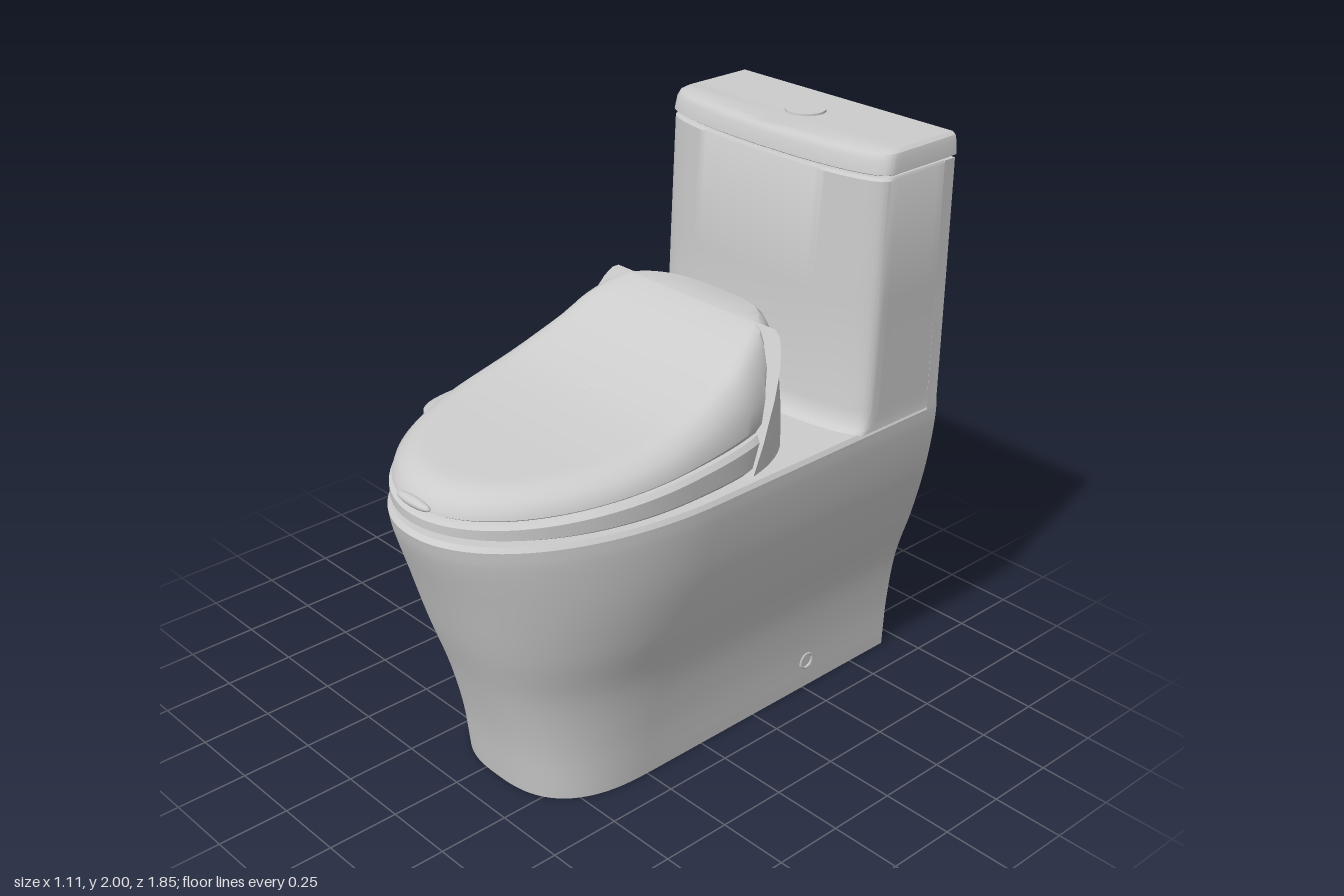
import * as THREE from 'three';
import { toCreasedNormals } from 'three/addons/utils/BufferGeometryUtils.js';

const MID = 0.06, BACK = -0.925, PANEL = 0.05;
const mat = new THREE.MeshStandardMaterial({ color: 0xcccccc, side: THREE.DoubleSide });

function part(name, geometry, parent, crease = 0.6) {
  const mesh = new THREE.Mesh(toCreasedNormals(geometry, crease), mat);
  mesh.name = name;
  parent.add(mesh);
  return mesh;
}

// Skin stacked rings of [x, y, z] points; closed rings wrap around.
function loft(rings, closed = false) {
  const n = rings[0].length, index = [];
  for (let j = 0; j < rings.length - 1; j++) {
    for (let i = 0; i < (closed ? n : n - 1); i++) {
      const a = j * n + i, b = j * n + (i + 1) % n;
      index.push(a, a + n, b, b, a + n, b + n);
    }
  }
  const geo = new THREE.BufferGeometry();
  geo.setAttribute('position', new THREE.Float32BufferAttribute(rings.flat(2), 3));
  geo.setIndex(index);
  return geo;
}

const spow = (v, e) => Math.sign(v) * Math.pow(Math.abs(v), e);

// Plan outline: straight sides from the back, then a rounded front.
function planRing(y, w, zBack, zSide, zFront, n, bow = 0) {
  const pts = [];
  for (let i = 0; i < 8; i++) pts.push([w, y, zBack + (zSide - zBack) * i / 8]);
  for (let i = 0; i <= 64; i++) {
    const t = Math.PI * i / 64, x = spow(Math.cos(t), 2 / n);
    pts.push([w * x, y, zSide + (zFront - zSide) * spow(Math.sin(t), 2 / n) - bow * x * x]);
  }
  for (let i = 7; i >= 0; i--) pts.push([-w, y, zBack + (zSide - zBack) * i / 8]);
  return pts;
}
const flatten = ring => ring.map(([, y, z]) => [0, y, z]);

// Height of the closed cover along z.
const coverCurve = new THREE.SplineCurve([
  [-0.45, 1.43], [-0.38, 1.462], [-0.3, 1.475], [-0.22, 1.47], [-0.1, 1.42], [0, 1.36],
  [0.2, 1.285], [0.4, 1.245], [0.6, 1.222], [0.8, 1.205], [0.95, 1.185],
].map(p => new THREE.Vector2(...p))).getPoints(80);
function coverTop(z) {
  const k = Math.max(1, coverCurve.findIndex(p => p.x >= z));
  const a = coverCurve[k - 1], b = coverCurve[k];
  return THREE.MathUtils.lerp(a.y, b.y, THREE.MathUtils.clamp((z - a.x) / (b.x - a.x), 0, 1));
}
const seatTop = z => 1.11 + 0.065 * (0.9 - z) / 0.9;
const seam = y => -0.05 - 0.45 * (y - 1.06);

// Egg-shaped solid, trimmed by the slanted seam; side +1 keeps the front, -1 the rear.
function egg(bottom, top, side, steps, grow = 0) {
  const N = 120, z0 = 0.2;
  const ring = (f, d, scale) => {
    const pts = [];
    for (let i = 0; i < N; i++) {
      const t = 2 * Math.PI * i / N, c = Math.cos(t), s = Math.sin(t);
      const e = s > 0 ? 1 : 2 / 2.8;
      const len = s > 0 ? 0.705 + grow - d : 0.62 - d * 0.5;
      const x = spow(c, e) * (0.47 + grow - d) * scale;
      const free = z0 + spow(s, e) * len * scale;
      let z = free, y = 0;
      for (let k = 0; k < 10; k++) {
        y = bottom(z) + (top(z) - bottom(z)) * f;
        const cut = seam(y) + (side > 0 ? 0 : -0.008);
        z = side > 0 ? Math.max(free, cut) : Math.min(free, cut);
      }
      pts.push([x, y, z]);
    }
    return pts;
  };
  const rings = [ring(0, 0, 0.01)];
  for (const [f, d] of steps) rings.push(ring(f, d, 1));
  const last = steps[steps.length - 1];
  for (let k = 11; k >= 0; k--) rings.push(ring(last[0], last[1], Math.max(0.01, k / 12)));
  return loft(rings, true);
}

export function createModel() {
  const model = new THREE.Group();
  model.name = 'toilet';
  const main = new THREE.Group();
  main.name = 'centredParts';
  main.position.x = MID;
  model.add(main);

  // Pedestal: half width, height, front reach
  const profile = new THREE.CatmullRomCurve3([
    [0.325, 0, 0.625], [0.334, 0.2, 0.66], [0.36, 0.4, 0.715], [0.418, 0.6, 0.785],
    [0.463, 0.8, 0.85], [0.486, 0.98, 0.912], [0.488, 1.035, 0.925],
  ].map(p => new THREE.Vector3(...p))).getPoints(36);
  const zIn = BACK + PANEL;
  const rings = profile.map(p => {
    const k = p.y / 1.05;
    return planRing(p.y, p.x, zIn, 0.22 - 0.12 * k, p.z, 2.7 - 0.65 * k);
  });
  const rim = planRing(1.05, 0.478, zIn, 0.1, 0.912, 2.05);
  part('pedestal', loft([flatten(rings[0]), ...rings, rim, flatten(rim)]), main);

  // Tank with a small fillet at its foot
  const tankRings = [
    [1.045, 0.488, -0.455], [1.06, 0.486, -0.478], [1.08, 0.485, -0.492], [1.12, 0.484, -0.503],
    [1.5, 0.483, -0.515], [1.9, 0.48, -0.528], [1.91, 0.474, -0.535],
  ].map(([y, w, z]) => planRing(y, w, zIn, z - 0.09, z, 4.5, 0.04));
  part('tank', loft([...tankRings, flatten(tankRings[6])]), main);

  // Tank lid
  const lidRings = [
    [1.918, 0.478, -0.533], [1.922, 0.485, -0.527], [1.965, 0.481, -0.535],
    [1.984, 0.475, -0.545], [1.993, 0.462, -0.56],
  ].map(([y, w, z]) => planRing(y, w, BACK, z - 0.09, z, 4.5, 0.04));
  part('tankLid', loft([flatten(lidRings[0]), ...lidRings, flatten(lidRings[4])], true), main);
  const neck = part('lidNeck', new THREE.BoxGeometry(0.93, 0.03, 0.28), main);
  neck.position.set(0, 1.915, -0.775);

  // Flush button
  const button = part('flushButton', new THREE.CylinderGeometry(0.068, 0.07, 0.02, 40), main);
  button.position.set(0, 1.99, -0.74);

  // Back panel with arched pipe recess and round access pockets
  const edge = [...profile.map(p => [p.x, p.y]), [0.485, 1.08], [0.483, 1.5], [0.48, 1.91]];
  const outline = edge.map(([x, y]) => new THREE.Vector2(x, y));
  for (const [x, y] of [...edge].reverse()) outline.push(new THREE.Vector2(-x, y));
  const panel = new THREE.Shape(outline);
  const archW = 0.18, archY = 0.43;
  panel.lineTo(-archW, 0);
  panel.lineTo(-archW, archY);
  panel.absarc(0, archY, archW, Math.PI, 0, true);
  panel.lineTo(archW, 0);
  for (const [x, y, r] of [[-0.19, 0.78, 0.11], [0.19, 0.78, 0.11], [-0.03, 1.85, 0.025]]) {
    panel.holes.push(new THREE.Path().absarc(x, y, r, 0, Math.PI * 2, true));
  }
  const back = part('backPanel', new THREE.ExtrudeGeometry(panel,
    { depth: PANEL, bevelEnabled: false, curveSegments: 24 }), main);
  back.rotation.y = Math.PI;
  back.position.z = zIn;
  const floor = part('recessFloor', new THREE.ShapeGeometry(new THREE.Shape(outline)), main);
  floor.rotation.y = Math.PI;
  floor.position.z = zIn - 0.003;

  // Small round bolt covers low on both sides
  for (const s of [-1, 1]) {
    const cap = part('boltCover', new THREE.TorusGeometry(0.028, 0.006, 8, 24), main);
    cap.rotation.y = Math.PI / 2;
    cap.position.set(s * 0.328, 0.11, -0.51);
  }

  // Seat, cover and rear housing
  part('seat', egg(() => 1.065, seatTop, 1, [[0, 0.02], [0.2, 0], [0.85, 0], [1, 0.015]], 0.008), main);
  part('cover', egg(z => seatTop(z) + 0.01, coverTop, 1,
    [[0, 0.012], [0.1, 0.002], [0.4, 0.01], [0.65, 0.03], [0.85, 0.055], [0.96, 0.08], [1, 0.105]]), main);
  part('rearHousing', egg(() => 1.05, coverTop, -1,
    [[0, 0], [0.3, 0.004], [0.6, 0.018], [0.78, 0.035], [0.9, 0.058], [0.97, 0.08], [1, 0.105]]), main);
  const tab = part('coverTab', new THREE.SphereGeometry(1, 24, 12), main, 3);
  tab.scale.set(0.08, 0.016, 0.02);
  tab.position.set(0, 1.14, 0.9);

  // Side control panel
  const plan = new THREE.Shape();
  plan.moveTo(0.2, -0.13);
  plan.lineTo(0.03, -0.135);
  plan.quadraticCurveTo(-0.01, -0.15, -0.015, -0.23);
  plan.bezierCurveTo(-0.015, -0.36, 0.02, -0.44, 0.08, -0.46);
  plan.lineTo(0.2, -0.49);
  const controls = part('controlPanel', new THREE.ExtrudeGeometry(plan, {
    depth: 0.02, bevelThickness: 0.008, bevelSize: 0.008, bevelSegments: 3, curveSegments: 16,
  }).rotateX(-Math.PI / 2), model);
  controls.position.set(-0.54, 1.062, 0);
  controls.rotation.z = 0.15;

  return model;
}
